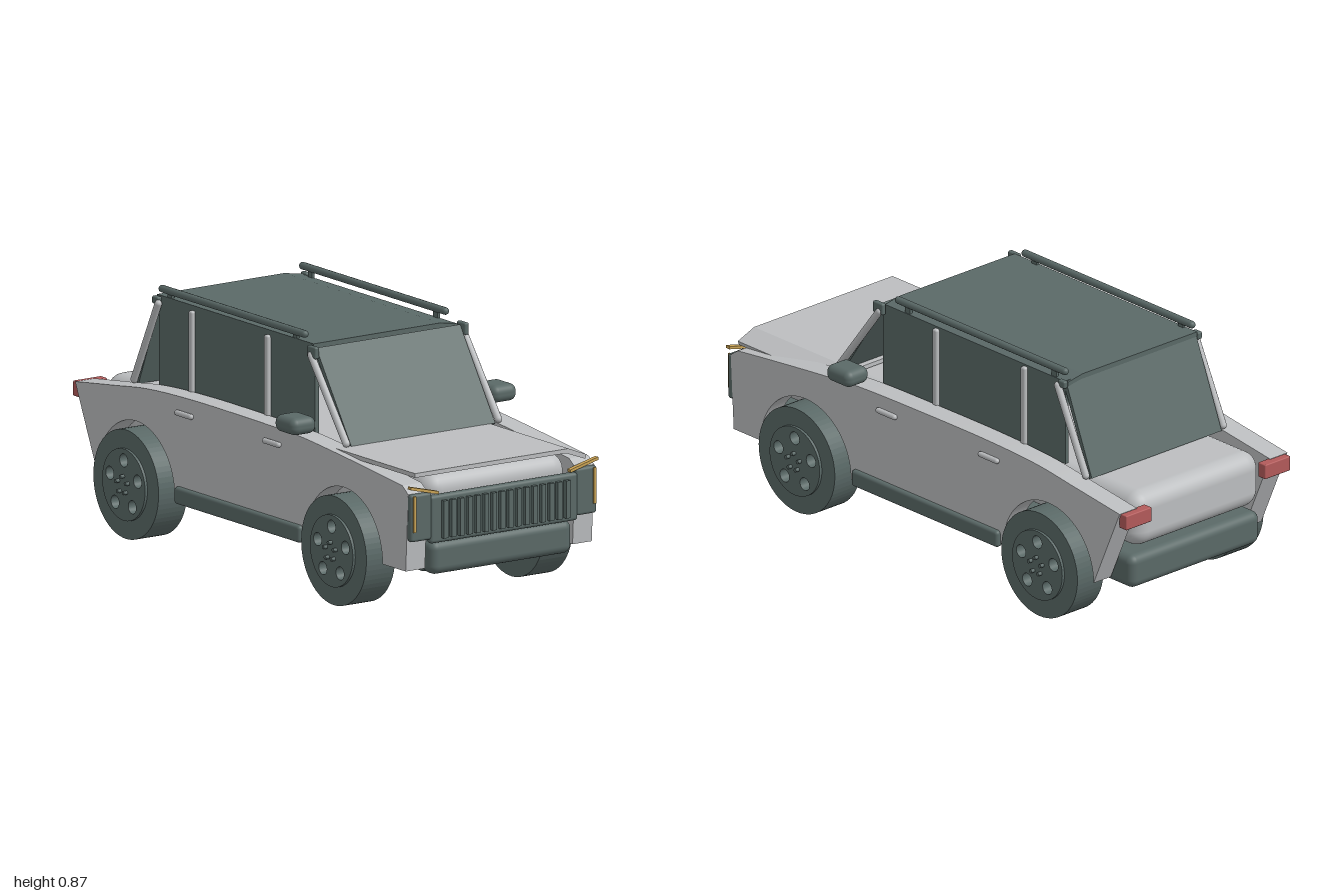
import * as THREE from 'three';
import { RoundedBoxGeometry } from 'three/addons/geometries/RoundedBoxGeometry.js';

const mat = (name, color) => {
  const m = new THREE.MeshStandardMaterial({ color });
  m.name = name;
  return m;
};

export function createModel() {
  const car = new THREE.Group();
  car.name = 'car';
  const light = mat('light grey paint', 0xbcbec0);
  const dark = mat('dark grey green', 0x5a6967);
  const gold = mat('gold trim', 0xcaa355);
  const red = mat('red lamp', 0xb25a5a);

  const add = (name, geo, m, x = 0, y = 0, z = 0) => {
    const mesh = new THREE.Mesh(geo, m);
    mesh.name = name;
    mesh.position.set(x, y, z);
    car.add(mesh);
    return mesh;
  };
  // Box given by its limits, rounded when r > 0
  const block = (name, m, [x0, x1], [y0, y1], [z0, z1], r = 0) => {
    const s = [x1 - x0, y1 - y0, z1 - z0];
    const geo = r ? new RoundedBoxGeometry(...s, 4, r) : new THREE.BoxGeometry(...s);
    return add(name, geo, m, (x0 + x1) / 2, (y0 + y1) / 2, (z0 + z1) / 2);
  };
  // Round bar between two points
  const rod = (name, m, a, b, r) => {
    const p = new THREE.Vector3(...a), q = new THREE.Vector3(...b);
    const d = q.clone().sub(p);
    const mesh = add(name, new THREE.CapsuleGeometry(r, d.length(), 4, 12), m);
    mesh.position.copy(p).add(q).multiplyScalar(0.5);
    mesh.quaternion.setFromUnitVectors(new THREE.Vector3(0, 1, 0), d.normalize());
    return mesh;
  };
  // Sloping sheet spanning the cabin width, running from point a to point b in x, y
  const sheet = (name, m, [ax, ay], [bx, by], width, t) => {
    const mesh = add(name, new THREE.BoxGeometry(Math.hypot(bx - ax, by - ay), t, width), m,
      (ax + bx) / 2, (ay + by) / 2, 0);
    mesh.rotation.z = Math.atan2(by - ay, bx - ax);
    return mesh;
  };
  // Cross-section in (z, y) drawn out along x
  const along = (name, m, pts, x0, x1) => {
    const shape = new THREE.Shape(pts.map(([z, y]) => new THREE.Vector2(-z, y)));
    const geo = new THREE.ExtrudeGeometry(shape, { depth: x1 - x0, bevelEnabled: false });
    geo.rotateY(Math.PI / 2);
    return add(name, geo, m, x0, 0, 0);
  };

  // Inner body and floor pan
  block('innerBody', light, [-0.955, 0.95], [0.3, 0.5], [-0.295, 0.295], 0.06);
  block('floorPan', dark, [-0.94, 0.92], [0.155, 0.275], [-0.3, 0.3], 0.03);
  block('frontBumper', dark, [0.9, 0.975], [0.155, 0.272], [-0.295, 0.295], 0.03);

  // Body sides with wheel arches
  const wheelX = [-0.62, 0.59];
  const side = new THREE.Shape();
  side.moveTo(-0.985, 0.17);
  for (const x of wheelX) side.absarc(x, 0.18, 0.225, Math.PI, 0, true);
  side.lineTo(0.95, 0.18);
  side.lineTo(0.965, 0.45);
  side.lineTo(0.93, 0.475);
  side.splineThru([[0.75, 0.495], [0.5, 0.52], [0.3, 0.535], [0, 0.54], [-0.3, 0.54], [-0.55, 0.53],
    [-0.75, 0.505], [-0.975, 0.475]].map(p => new THREE.Vector2(...p)));
  const sideGeo = new THREE.ExtrudeGeometry(side, { depth: 0.08, bevelEnabled: false, curveSegments: 28 });

  // Hood and roof panels, drooping a little on one edge
  const hood = along('hood', light, [[0.36, 0.52], [0.36, 0.505], [-0.27, 0.505], [-0.35, 0.475],
    [-0.355, 0.49], [-0.28, 0.52]], 0.47, 0.965);
  hood.geometry.translate(0, 0, 0);
  along('roof', dark, [[0.3, 0.835], [0.3, 0.818], [-0.24, 0.818], [-0.3, 0.808], [-0.3, 0.824],
    [-0.23, 0.836]], -0.62, 0.29);

  // Sloping glass
  sheet('windshield', dark, [0.3, 0.82], [0.505, 0.515], 0.6, 0.015);
  sheet('rearWindow', dark, [-0.735, 0.505], [-0.605, 0.825], 0.6, 0.015);

  // Grille with upright slats
  block('grille', dark, [0.955, 0.985], [0.27, 0.437], [-0.308, 0.308], 0.012);
  for (let i = 0; i < 16; i++) {
    const z = (i - 7.5) * 0.034;
    block('grilleSlat', dark, [0.98, 1], [0.287, 0.418], [z - 0.009, z + 0.009]);
  }

  // Wheel disc with five round holes
  const disc = (r, depth) => {
    const s = new THREE.Shape().absarc(0, 0, r, 0, Math.PI * 2, false);
    for (let i = 0; i < 5; i++) {
      const a = Math.PI / 2 + i * Math.PI * 0.4;
      s.holes.push(new THREE.Path().absarc(0.085 * Math.cos(a), 0.085 * Math.sin(a), 0.023, 0, Math.PI * 2, true));
    }
    return new THREE.ExtrudeGeometry(s, { depth, bevelEnabled: false, curveSegments: 32 });
  };
  const tyreGeo = disc(0.19, 0.12), hubGeo = disc(0.125, 0.01);
  const nutGeo = new THREE.CylinderGeometry(0.007, 0.007, 0.018, 8).rotateX(Math.PI / 2);

  for (const s of [1, -1]) {
    const zs = (a, b) => (s > 0 ? [a, b] : [-b, -a]);
    add('bodySide', sideGeo, light, 0, 0, s > 0 ? 0.308 : -0.388);
    block('sideWindow', dark, [-0.61, 0.3], [0.52, 0.82], zs(0.285, 0.3));

    // Pillars
    rod('frontPillar', light, [0.3, 0.8, s * 0.317], [0.505, 0.53, s * 0.317], 0.013);
    rod('rearPillar', light, [-0.59, 0.81, s * 0.317], [-0.73, 0.52, s * 0.317], 0.013);
    for (const x of [-0.41, 0.03])
      block('doorPillar', light, [x - 0.012, x + 0.012], [0.525, 0.818], zs(0.295, 0.315), 0.008);
    block('roofCorner', dark, [0.28, 0.33], [0.79, 0.832], zs(0.303, 0.322), 0.006);
    block('roofCorner', dark, [-0.625, -0.59], [0.805, 0.832], zs(0.3, 0.32), 0.006);

    // Roof rails
    rod('roofRail', dark, [-0.6, 0.857, s * 0.293], [0.23, 0.857, s * 0.293], 0.013);
    for (const x of [-0.55, 0.18])
      block('railFoot', dark, [x - 0.012, x + 0.012], [0.815, 0.855], zs(0.287, 0.298));

    // Mirrors, handles and sills
    block('mirror', dark, [0.29, 0.41], [0.555, 0.615], zs(0.367, 0.47), 0.026);
    for (const x of [-0.33, 0.18])
      rod('doorHandle', light, [x - 0.04, 0.483, s * 0.396], [x + 0.04, 0.483, s * 0.396], 0.01);
    block('sill', dark, [-0.38, 0.35], [0.165, 0.225], zs(0.375, 0.405), 0.012);

    // Lamps with gold trim
    block('headlampPanel', dark, [0.955, 0.982], [0.285, 0.45], zs(0.3, 0.388), 0.01);
    block('lampTrim', gold, [0.972, 0.988], [0.32, 0.445], zs(0.371, 0.38));
    const brow = block('browTrim', gold, [0.967, 0.985], [0.455, 0.465], [s * 0.333 - 0.06, s * 0.333 + 0.06]);
    brow.rotation.x = -s * 0.25;
    block('tailLamp', red, [-1, -0.963], [0.42, 0.473], zs(0.262, 0.38), 0.004);

    // Wheels
    for (const x of wheelX) {
      add('tyre', tyreGeo, dark, x, 0.19, s > 0 ? 0.31 : -0.43);
      add('hub', hubGeo, dark, x, 0.19, s > 0 ? 0.43 : -0.44);
      for (let i = 0; i < 5; i++) {
        const a = Math.PI / 2 + i * Math.PI * 0.4;
        add('wheelNut', nutGeo, dark, x + 0.03 * Math.cos(a), 0.19 + 0.03 * Math.sin(a), s * 0.446);
      }
    }
  }
  return car;
}
